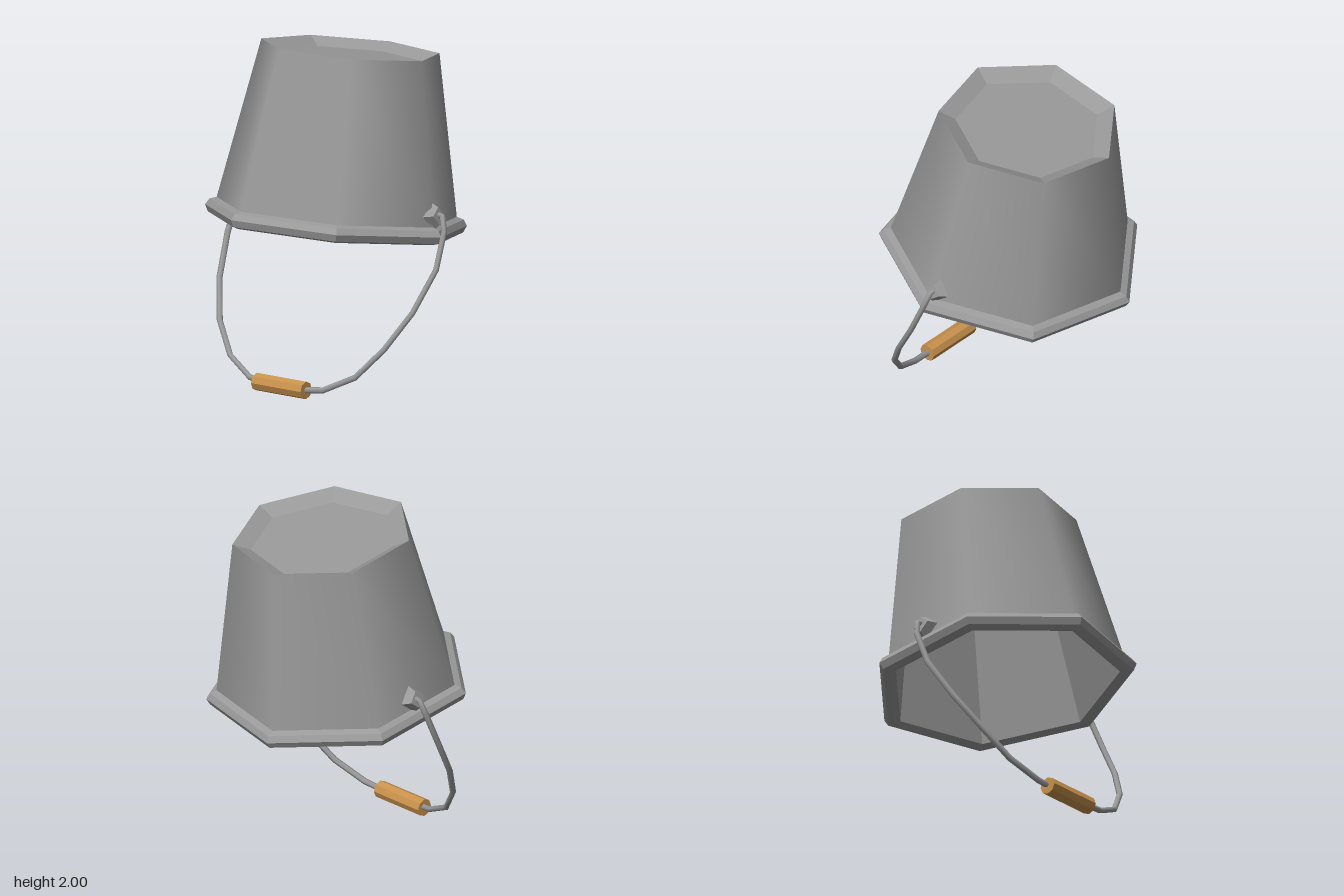
import * as THREE from 'three';

const V = (x, y, z) => new THREE.Vector3(x, y, z);

// Straight-segmented path whose rings sit exactly on the given points
class Polyline extends THREE.Curve {
  constructor(points) {
    super();
    this.points = points;
  }
  getPoint(t, target = new THREE.Vector3()) {
    const n = this.points.length - 1;
    const s = Math.min(Math.max(t, 0), 1) * n;
    const i = Math.min(Math.floor(s), n - 1);
    return target.lerpVectors(this.points[i], this.points[i + 1], s - i);
  }
  getPointAt(u, target) { return this.getPoint(u, target); }
  getTangentAt(u, target) { return this.getTangent(u, target); }
}

export function createModel() {
  const model = new THREE.Group();
  model.name = 'bucket';

  const steel = new THREE.MeshStandardMaterial({ color: 0x999999 });
  steel.name = 'grey steel';
  const wood = new THREE.MeshStandardMaterial({ color: 0xc8914c });
  wood.name = 'light wood';

  const add = (parent, name, geometry, material) => {
    const mesh = new THREE.Mesh(geometry, material);
    mesh.name = name;
    parent.add(mesh);
    return mesh;
  };
  const faceted = (geometry) => {
    const g = geometry.toNonIndexed();
    g.computeVertexNormals();
    return g;
  };
  // Seven-sided turned shell with one corner on +x
  const shell = (profile) => new THREE.LatheGeometry(
    profile.map(([r, y]) => new THREE.Vector2(r, y)), 7, Math.PI / 2);

  // Upturned, slightly tipped body
  const body = new THREE.Group();
  body.name = 'body';
  body.position.set(-0.025, 0.95, 0);
  body.rotation.x = -0.134;
  model.add(body);

  add(body, 'outerWall', shell([[0.714, 0.03], [0.527, 0.99]]), steel);
  add(body, 'recessedBase', faceted(shell([[0.527, 0.99], [0.425, 0.94], [0, 0.94]])), steel);
  add(body, 'innerWall', faceted(shell([[0, 0.91], [0.49, 0.91], [0.675, -0.04]])), steel);
  add(body, 'rim', faceted(shell([
    [0.675, -0.04], [0.715, -0.052], [0.755, -0.04], [0.775, 0], [0.752, 0.035], [0.708, 0.05],
  ])), steel);

  // Diamond-shaped ears holding the bail
  for (const side of [1, -1]) {
    const geometry = new THREE.CylinderGeometry(0.052, 0.083, 0.05, 4);
    geometry.rotateZ(-side * Math.PI / 2);
    const ear = add(body, side > 0 ? 'leftEar' : 'rightEar', faceted(geometry), steel);
    ear.position.set(side * 0.68 + 0.025, 0.113, -0.02);
    ear.rotation.z = side * 0.2;
  }

  // Wire bail: half is described, the other half mirrored
  const half = [
    V(0.67, 1.075, -0.04), V(0.725, 1.068, -0.04), V(0.757, 0.985, -0.02),
    V(0.768, 0.775, 0.07), V(0.712, 0.54, 0.215), V(0.605, 0.33, 0.345),
    V(0.46, 0.16, 0.43), V(0.27, 0.068, 0.487), V(0.14, 0.053, 0.5),
  ];
  const path = [...half, ...half.map((p) => V(-p.x, p.y, p.z)).reverse()];
  add(model, 'bail', new THREE.TubeGeometry(new Polyline(path), path.length - 1, 0.018, 6), steel);

  // Wooden grip
  const grip = new THREE.CylinderGeometry(0.052, 0.052, 0.365, 8);
  grip.rotateZ(Math.PI / 2);
  add(model, 'grip', faceted(grip), wood).position.set(-0.027, 0.053, 0.5);

  return model;
}
